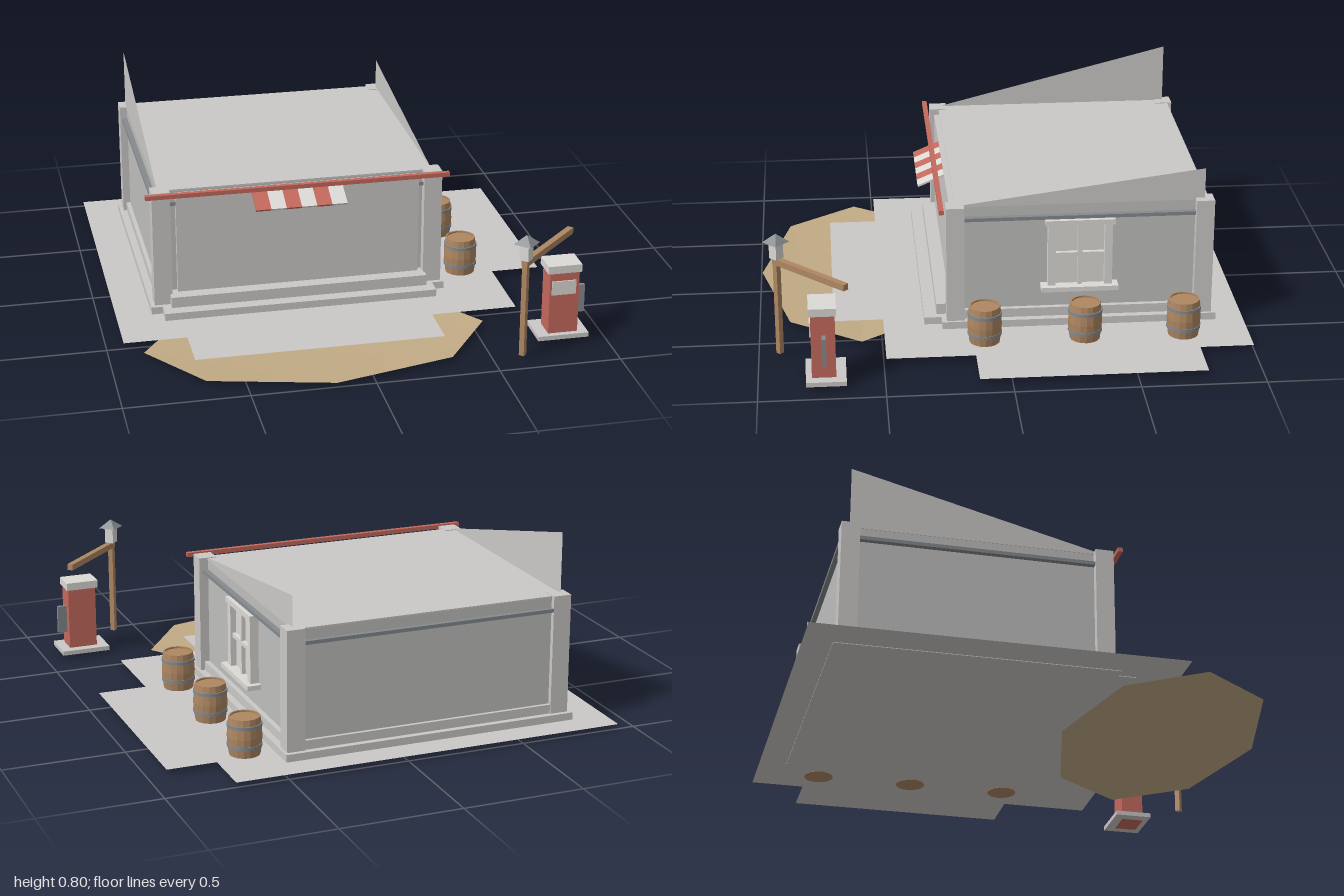
import * as THREE from 'three';

const mat = (name, color, double) => {
  const m = new THREE.MeshStandardMaterial({ color });
  m.name = name;
  if (double) m.side = THREE.DoubleSide;
  return m;
};

export function createModel() {
  const model = new THREE.Group();
  model.name = 'roadsideStore';

  const concrete = mat('concrete', 0xcbc9c7, true);
  const wall = mat('wall', 0xbfbfbe);
  const trim = mat('paleTrim', 0xdcdad6);
  const red = mat('paintedRed', 0xc4695d);
  const wood = mat('wood', 0xae8762);
  const metal = mat('metal', 0x868a8e);
  const dirt = mat('dirt', 0xc2ab86, true);

  const add = (name, geo, material, parent = model) => {
    const mesh = new THREE.Mesh(geo, material);
    mesh.name = name;
    parent.add(mesh);
    return mesh;
  };
  // Box given by its limits on each axis
  const box = (name, material, x0, x1, y0, y1, z0, z1, parent) => {
    const mesh = add(name, new THREE.BoxGeometry(x1 - x0, y1 - y0, z1 - z0), material, parent);
    mesh.position.set((x0 + x1) / 2, (y0 + y1) / 2, (z0 + z1) / 2);
    return mesh;
  };
  const shapeOf = (pts) => new THREE.Shape(pts.map(([x, y]) => new THREE.Vector2(x, y)));

  // Paved ground: a flat outline with three notched sides
  const paving = [
    [-0.93, -1], [0.715, -1], [0.715, -0.78], [0.92, -0.78], [0.92, 0.13], [0.715, 0.13],
    [0.715, 0.49], [0.355, 0.49], [0.355, 0.695], [-0.67, 0.695], [-0.67, 0.49], [-0.93, 0.49],
  ].map(([x, z]) => [x, -z]);
  const pavingGeo = new THREE.ShapeGeometry(shapeOf(paving));
  pavingGeo.rotateX(-Math.PI / 2);
  add('paving', pavingGeo, concrete).position.y = 0.021;

  // Dirt patch: shallow, uneven eight-sided dish
  const dirtGeo = new THREE.RingGeometry(0.001, 1, 8, 3);
  dirtGeo.rotateX(-Math.PI / 2);
  const dp = dirtGeo.attributes.position;
  for (let i = 0; i < dp.count; i++) {
    const x = dp.getX(i), z = dp.getZ(i), r = Math.hypot(x, z);
    const ripple = r < 0.95 ? 0.003 * r * Math.sin(x * 6 + z * 4) : 0;
    dp.setXYZ(i, -0.157 + x * 0.703, 0.001 + 0.016 * r * r + ripple, 0.583 + z * 0.412);
  }
  dirtGeo.computeVertexNormals();
  add('dirtPatch', dirtGeo, dirt);

  // Building: plinth, body and front steps
  const store = new THREE.Group();
  store.name = 'store';
  model.add(store);
  box('plinth', concrete, -0.782, 0.467, 0.018, 0.052, -0.885, 0.25, store);
  box('plinthCourse', concrete, -0.752, 0.438, 0.052, 0.09, -0.86, 0.21, store);
  box('lowerStep', concrete, -0.735, 0.416, 0.018, 0.052, 0.2, 0.322, store);
  box('upperStep', concrete, -0.70, 0.386, 0.052, 0.098, 0.18, 0.27, store);
  box('walls', wall, -0.735, 0.417, 0.05, 0.545, -0.845, 0.19, store);
  box('roof', concrete, -0.737, 0.419, 0.543, 0.549, -0.847, 0.192, store);
  box('frontPanel', concrete, -0.665, 0.36, 0.098, 0.535, 0.185, 0.214, store);

  // Corner pillars
  for (const x of [-0.766, 0.38])
    for (const z of [-0.866, 0.157])
      box('cornerPillar', concrete, x, x + 0.076, 0.05, 0.552, z, z + 0.074, store);

  // Rails high on each wall
  for (const [x0, x1] of [[-0.758, -0.73], [0.412, 0.44]])
    box('sideRail', metal, x0, x1, 0.485, 0.5, -0.793, 0.158, store);
  for (const [z0, z1] of [[-0.865, -0.84], [0.185, 0.21]])
    box('endRail', metal, -0.691, 0.381, 0.485, 0.5, z0, z1, store);

  // Sloping side parapets, the right one lower
  for (const [x, top] of [[-0.737, 0.805], [0.419, 0.68]]) {
    const fin = new THREE.ShapeGeometry(shapeOf([[-0.19, 0.548], [0.83, 0.548], [0.83, top]]));
    fin.rotateY(Math.PI / 2);
    add('parapet', fin, concrete, store).position.x = x;
  }

  // Eaves beam and striped awning
  box('eavesBeam', red, -0.795, 0.48, 0.537, 0.555, 0.241, 0.261, store);
  const awning = new THREE.Group();
  awning.name = 'awning';
  awning.position.set(-0.351, 0.503, 0.268);
  awning.rotation.x = 0.4;
  store.add(awning);
  const stripe = 0.0637;
  for (let i = 0; i < 6; i++)
    box('awningStripe', i % 2 ? trim : red, i * stripe, (i + 1) * stripe, -0.004, 0.004, -0.06, 0.06, awning);

  // Side window with frame, mullions and sill
  const windowGroup = new THREE.Group();
  windowGroup.name = 'window';
  store.add(windowGroup);
  box('pane', trim, 0.41, 0.428, 0.19, 0.48, -0.445, -0.19, windowGroup);
  for (const z of [-0.45, -0.217])
    box('windowJamb', trim, 0.41, 0.453, 0.19, 0.47, z, z + 0.032, windowGroup);
  box('windowHead', trim, 0.41, 0.458, 0.462, 0.485, -0.46, -0.175, windowGroup);
  box('windowSill', trim, 0.41, 0.475, 0.175, 0.195, -0.475, -0.157, windowGroup);
  box('mullion', trim, 0.41, 0.445, 0.19, 0.47, -0.327, -0.308, windowGroup);
  box('crossbar', trim, 0.41, 0.445, 0.32, 0.338, -0.43, -0.2, windowGroup);

  // Barrels along the side
  const staves = [[0, 0], [0.062, 0], [0.068, 0.045], [0.07, 0.08], [0.068, 0.115], [0.063, 0.16],
    [0.056, 0.16], [0.056, 0.153], [0, 0.153]].map(([r, y]) => new THREE.Vector2(r, y));
  const staveGeo = new THREE.LatheGeometry(staves, 16).toNonIndexed();
  staveGeo.computeVertexNormals();
  const hoopGeo = new THREE.CylinderGeometry(0.0705, 0.0705, 0.014, 16);
  for (const z of [-0.73, -0.325, 0.085]) {
    const barrel = new THREE.Group();
    barrel.name = 'barrel';
    barrel.position.set(0.582, 0.019, z);
    model.add(barrel);
    add('barrelBody', staveGeo, wood, barrel);
    for (const y of [0.043, 0.126]) add('barrelHoop', hoopGeo, metal, barrel).position.y = y;
  }

  // Lantern post, turned so its arm reaches over the pump
  const post = new THREE.Group();
  post.name = 'lanternPost';
  post.position.set(0.617, 0, 0.914);
  post.rotation.y = Math.PI / 4;
  model.add(post);
  box('pole', wood, -0.011, 0.011, 0.018, 0.44, -0.011, 0.011, post);
  box('arm', wood, -0.012, 0.38, 0.41, 0.436, -0.013, 0.013, post);
  box('lantern', trim, -0.02, 0.02, 0.436, 0.506, -0.02, 0.02, post);
  const cap = add('lanternRoof', new THREE.ConeGeometry(0.054, 0.036, 4).toNonIndexed(), metal, post);
  cap.geometry.computeVertexNormals();
  cap.position.y = 0.523;
  cap.rotation.y = Math.PI / 4;

  // Fuel pump
  const pump = new THREE.Group();
  pump.name = 'fuelPump';
  model.add(pump);
  box('pumpBase', concrete, 0.715, 0.927, 0.017, 0.036, 0.652, 0.812, pump);
  box('pumpBody', red, 0.762, 0.885, 0.016, 0.305, 0.692, 0.788, pump);
  box('pumpTop', trim, 0.752, 0.892, 0.303, 0.336, 0.686, 0.796, pump);
  box('pumpDial', trim, 0.77, 0.871, 0.207, 0.267, 0.787, 0.793, pump);
  box('hoseHolder', metal, 0.884, 0.925, 0.1, 0.22, 0.729, 0.745, pump);

  return model;
}
